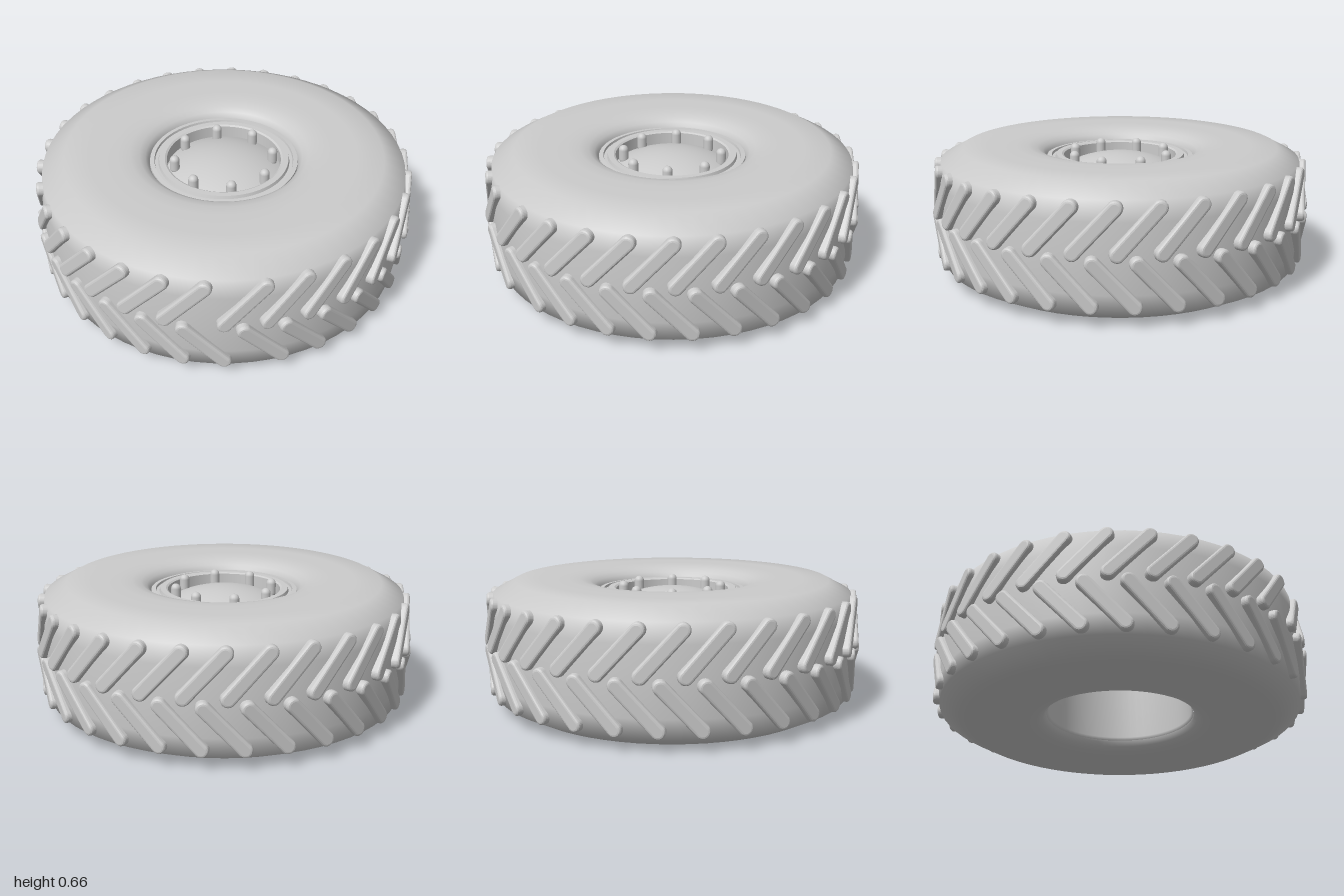
import * as THREE from 'three';

const MID = 0.33; // half of the tyre width
const BARS = 30;
const STEP = THREE.MathUtils.degToRad(11.84);

const grey = new THREE.MeshStandardMaterial({ color: 0xcccccc });
const greyBoth = new THREE.MeshStandardMaterial({ color: 0xcccccc, side: THREE.DoubleSide });

function lathe(name, points, material = grey, segments = 64) {
  const profile = points.map(([r, y]) => new THREE.Vector2(r, y));
  const mesh = new THREE.Mesh(new THREE.LatheGeometry(profile, segments), material);
  mesh.name = name;
  return mesh;
}

// Point on a cylinder round the axle; the angle starts at the front and runs towards +x
function polar(r, angle, y) {
  return new THREE.Vector3(r * Math.sin(angle), y, r * Math.cos(angle));
}

// Round-ended bar lying along x, rising along z
function barGeometry(length, radius, depth) {
  const bevel = 0.014, r = radius - bevel, h = length / 2;
  const shape = new THREE.Shape();
  shape.absarc(h, 0, r, -Math.PI / 2, Math.PI / 2, false);
  shape.absarc(-h, 0, r, Math.PI / 2, Math.PI * 1.5, false);
  shape.closePath();
  const geometry = new THREE.ExtrudeGeometry(shape, {
    depth: depth - bevel, bevelEnabled: true, bevelThickness: bevel,
    bevelSize: bevel, bevelSegments: 3, curveSegments: 8,
  });
  return geometry.translate(0, 0, -(depth - bevel) - bevel);
}

// One row of slanted tread bars, from the middle of the tyre to its shoulder
function treadRow(name, firstAngle, yMiddle, yShoulder) {
  const group = new THREE.Group();
  group.name = name;
  const slant = THREE.MathUtils.degToRad(11);
  let geometry = null;
  for (let i = 0; i < BARS; i++) {
    const angle = THREE.MathUtils.degToRad(firstAngle) + i * STEP;
    const a = polar(0.995, angle - slant, yMiddle);
    const b = polar(0.98, angle, yShoulder);
    geometry ??= barGeometry(a.distanceTo(b), 0.036, 0.07);
    const along = b.clone().sub(a).normalize();
    const out = polar(1, angle - slant / 2, 0);
    out.addScaledVector(along, -out.dot(along)).normalize();
    const across = out.clone().cross(along);
    const bar = new THREE.Mesh(geometry, grey);
    bar.name = 'treadBar';
    bar.quaternion.setFromRotationMatrix(new THREE.Matrix4().makeBasis(along, across, out));
    bar.position.copy(a).add(b).multiplyScalar(0.5);
    group.add(bar);
  }
  return group;
}

export function createModel() {
  const model = new THREE.Group();
  model.name = 'wheel';

  // Tyre: half a cross-section, mirrored about the middle
  const lower = [
    [0.39, 0.075], [0.395, 0.055], [0.41, 0.035], [0.44, 0.016], [0.49, 0.004], [0.56, 0],
    [0.7, 0], [0.83, 0.002], [0.945, 0.062], [0.957, 0.16], [0.963, MID],
  ];
  const upper = lower.slice(0, -1).reverse().map(([r, y]) => [r, 2 * MID - y]);
  model.add(lathe('tyre', [...lower, ...upper]));

  // Tread
  model.add(treadRow('upperTread', 3, 0.358, 0.565));
  model.add(treadRow('lowerTread', 8.3, 0.312, 0.105));

  // Rim barrel, open below
  model.add(lathe('rimBarrel', [[0.39, 0.59], [0.38, 0.56], [0.38, 0.08], [0.39, 0.065]], greyBoth));

  // Stepped rim lip; corners doubled to keep the steps crisp
  const steps = [[0.39, 0.58], [0.388, 0.6], [0.365, 0.602], [0.362, 0.59],
    [0.345, 0.59], [0.34, 0.606], [0.31, 0.606], [0.3, 0.6], [0.3, 0.52]];
  model.add(lathe('rimLip', steps.flatMap((p) => [p, p]).slice(1, -1), greyBoth));

  // Domed hub plate
  const dome = [];
  const R = 0.68, apex = 0.605;
  for (let i = 0; i <= 12; i++) {
    const r = 0.3 * (1 - i / 12);
    dome.push([r, apex - R + Math.sqrt(R * R - r * r)]);
  }
  model.add(lathe('hubPlate', dome, greyBoth));

  // Wheel bolts
  const boltGeometry = new THREE.CapsuleGeometry(0.026, 0.05, 6, 14);
  for (let i = 0; i < 8; i++) {
    const bolt = new THREE.Mesh(boltGeometry, grey);
    bolt.name = 'bolt';
    bolt.position.copy(polar(0.26, (i * Math.PI) / 4, 0.585));
    model.add(bolt);
  }
  return model;
}
